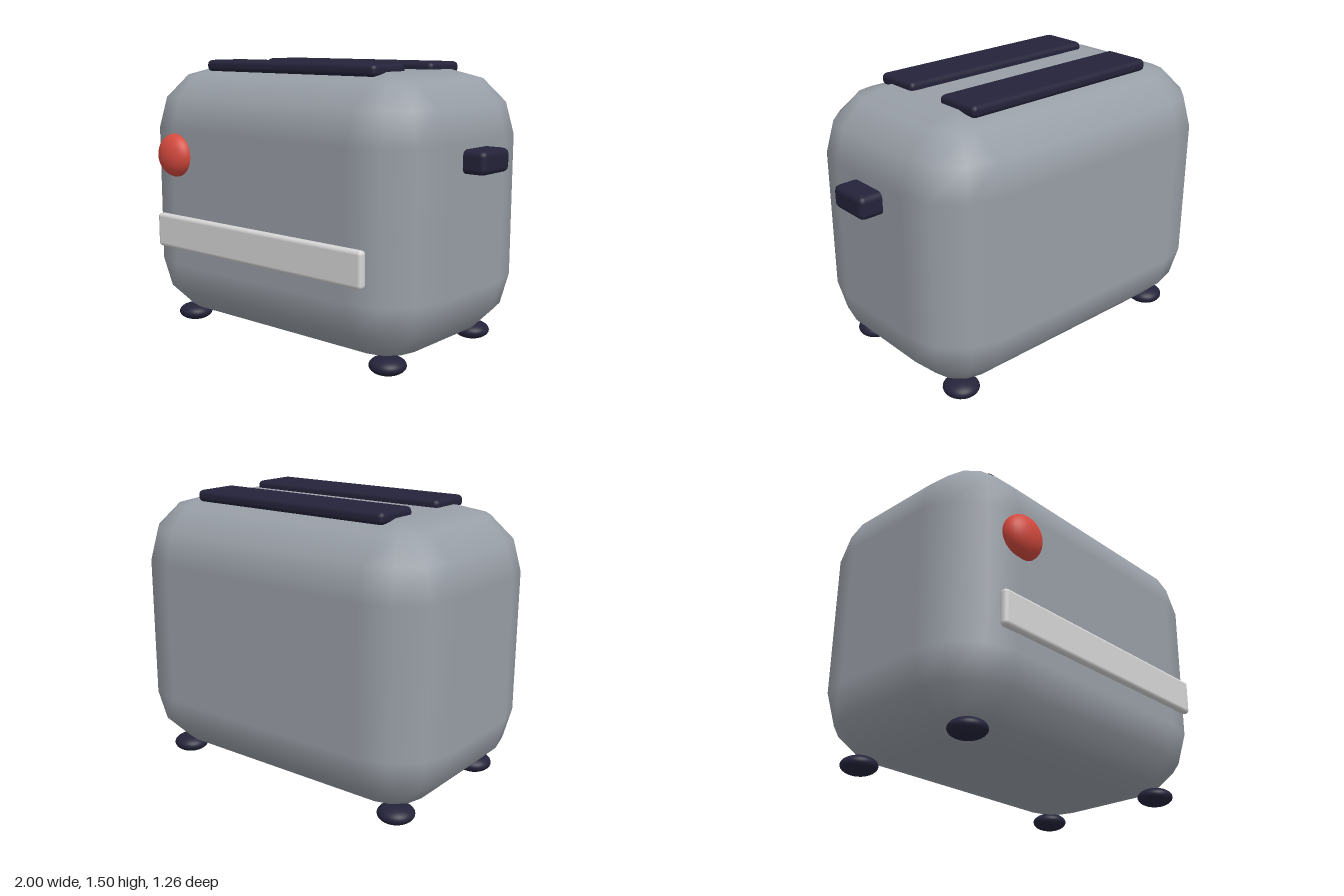
import * as THREE from 'three';
import { RoundedBoxGeometry } from 'three/addons/geometries/RoundedBoxGeometry.js';

const material = (name, color) => {
  const m = new THREE.MeshStandardMaterial({ color });
  m.name = name;
  return m;
};

// Box with wide, three-step bevels: rings of sphere corners pulled apart
function bevelledBox(w, h, d, r, steps = 3) {
  const pos = [], nor = [], index = [];
  const n = 4 * (steps + 1), rows = 2 * (steps + 1);
  const step = Math.PI / 2 / steps;
  for (let j = 0; j < rows; j++) {
    const upper = j > steps;
    const lat = upper ? (j - steps - 1) * step : j * step - Math.PI / 2;
    const sy = upper ? 1 : -1;
    for (let corner = 0; corner < 4; corner++) {
      const sx = corner === 0 || corner === 3 ? 1 : -1;
      const sz = corner < 2 ? 1 : -1;
      for (let k = 0; k <= steps; k++) {
        const a = corner * Math.PI / 2 + k * step;
        const nx = Math.cos(lat) * Math.cos(a), ny = Math.sin(lat), nz = Math.cos(lat) * Math.sin(a);
        nor.push(nx, ny, nz);
        pos.push(sx * (w / 2 - r) + r * nx, sy * (h / 2 - r) + r * ny, sz * (d / 2 - r) + r * nz);
      }
    }
  }
  for (let j = 0; j < rows - 1; j++) {
    for (let i = 0; i < n; i++) {
      const a = j * n + i, b = j * n + (i + 1) % n;
      index.push(a, a + n, b, b, a + n, b + n);
    }
  }
  // Flat bottom and top, using one point per corner
  const c = steps + 1, t = (rows - 1) * n;
  index.push(0, c, 2 * c, 0, 2 * c, 3 * c);
  index.push(t, t + 2 * c, t + c, t, t + 3 * c, t + 2 * c);
  const g = new THREE.BufferGeometry();
  g.setAttribute('position', new THREE.Float32BufferAttribute(pos, 3));
  g.setAttribute('normal', new THREE.Float32BufferAttribute(nor, 3));
  g.setIndex(index);
  return g;
}

export function createModel() {
  const steel = material('brushed grey', 0x999fa7);
  const dark = material('dark navy', 0x24233a);
  const red = material('red', 0xd44a3e);
  const pale = material('pale grey', 0xd6d6d6);

  const group = new THREE.Group();
  group.name = 'toaster';
  const add = (name, geometry, mat, x, y, z) => {
    const mesh = new THREE.Mesh(geometry, mat);
    mesh.name = name;
    mesh.position.set(x, y, z);
    group.add(mesh);
    return mesh;
  };
  const ellipsoid = (rx, ry, rz) => new THREE.SphereGeometry(1, 32, 20).scale(rx, ry, rz);

  // Body shell
  add('body', bevelledBox(1.88, 1.405, 1.18, 0.33), steel, -0.06, 0.757, -0.04);

  // Bread slots on the top
  for (const [name, z] of [['frontSlot', 0.19], ['backSlot', -0.28]]) {
    add(name, new RoundedBoxGeometry(1.18, 0.062, 0.256, 2, 0.025), dark, -0.06, 1.467, z);
  }

  // Lever on the left end
  add('lever', new RoundedBoxGeometry(0.16, 0.118, 0.236, 2, 0.03), dark, 0.92, 1.04, -0.04);

  // Dial and trim strip on the front
  add('dial', ellipsoid(0.117, 0.117, 0.078), red, -0.65, 0.992, 0.55);
  add('trimStrip', new RoundedBoxGeometry(1.455, 0.187, 0.047, 2, 0.021), pale, -0.06, 0.568, 0.558);

  // Four feet
  for (const x of [-0.767, 0.643]) {
    for (const z of [0.337, -0.417]) {
      add('foot', ellipsoid(0.094, 0.047, 0.094), dark, x, 0.048, z);
    }
  }
  return group;
}
